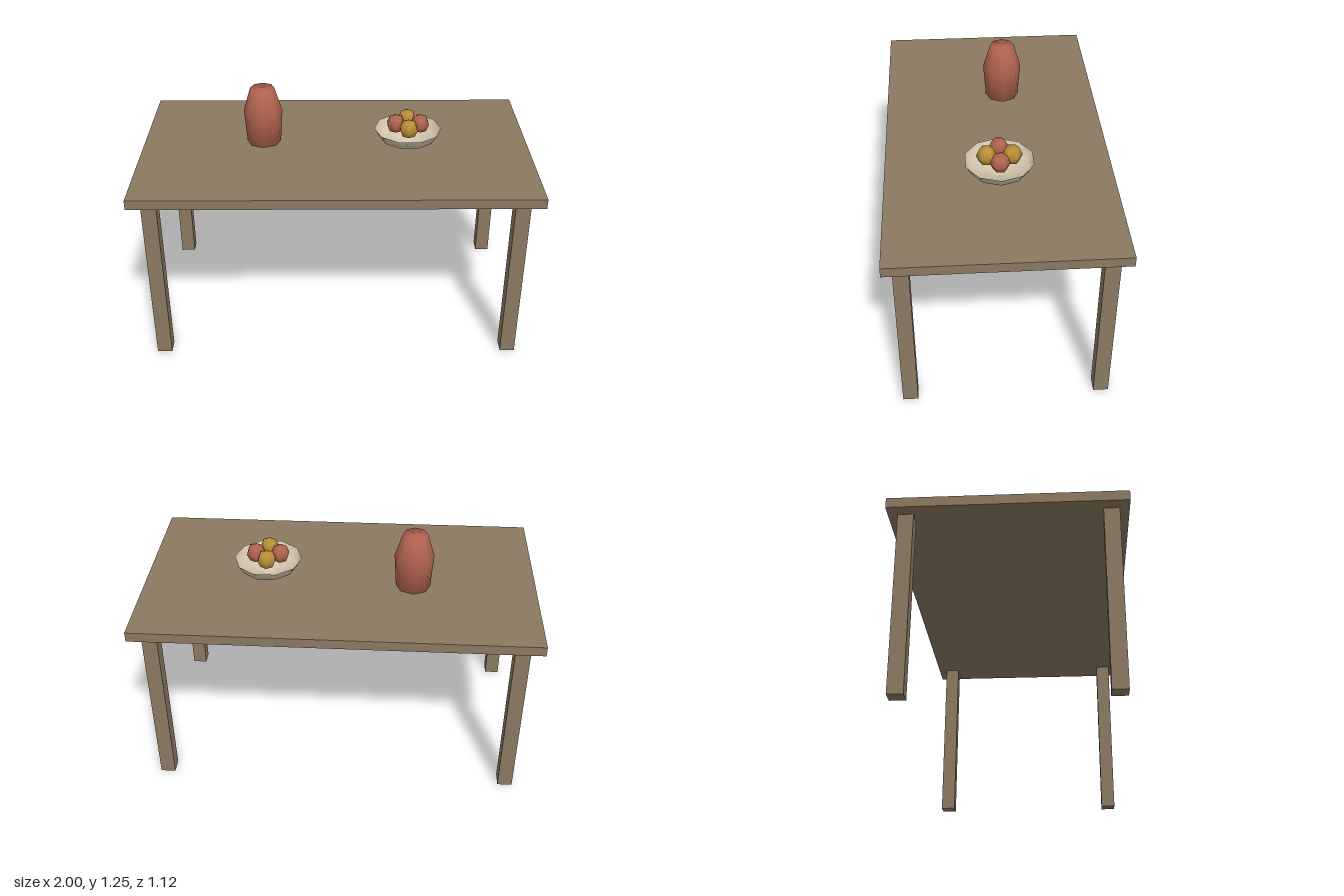
import * as THREE from 'three';

const material = (name, color, extra = {}) => {
  const m = new THREE.MeshStandardMaterial({ color, ...extra });
  m.name = name;
  return m;
};

export function createModel() {
  const wood = material('wood', 0x8a7962);
  const clay = material('red clay', 0xb2644f);
  const yellow = material('yellow fruit', 0xb98f38);
  const cream = material('cream ceramic', 0xd2c5ae, { side: THREE.DoubleSide });

  const model = new THREE.Group();
  model.name = 'diningTable';
  const add = (name, geometry, mat, x, y, z, parent = model) => {
    const mesh = new THREE.Mesh(geometry, mat);
    mesh.name = name;
    mesh.position.set(x, y, z);
    parent.add(mesh);
    return mesh;
  };
  const lathe = (profile, segments, start = 0) =>
    new THREE.LatheGeometry(profile.map(([r, y]) => new THREE.Vector2(r, y)), segments, start);

  // Table top and four square legs
  add('tableTop', new THREE.BoxGeometry(2, 0.05, 1.12), wood, 0, 0.925, 0);
  const legGeometry = new THREE.BoxGeometry(0.075, 0.9, 0.075);
  for (const [side, sx] of [['left', 1], ['right', -1]]) {
    for (const [end, sz] of [['Front', 1], ['Back', -1]]) {
      add(`${side}${end}Leg`, legGeometry, wood, sx * 0.9, 0.45, sz * 0.477);
    }
  }

  // Eight-sided vase with a closed top
  const vaseProfile = [[0, 0], [0.0875, 0], [0.1, 0.175], [0.0625, 0.3], [0, 0.3]];
  add('vase', lathe(vaseProfile, 8), clay, -0.375, 0.95, -0.0625);

  // Shallow ten-sided open bowl holding the fruit
  const fruitBowl = new THREE.Group();
  fruitBowl.name = 'fruitBowl';
  fruitBowl.position.set(0.373, 0.95, 0);
  model.add(fruitBowl);
  const bowlProfile = [[0, 0.001], [0.145, 0.052], [0.173, 0.1]];
  add('bowl', lathe(bowlProfile, 10, Math.PI / 2), cream, 0, 0, 0, fruitBowl);

  // Ring of four fruits in alternating colours
  const fruitGeometry = new THREE.SphereGeometry(0.05, 6, 4).rotateY(Math.PI / 2);
  for (let i = 0; i < 4; i++) {
    const a = (i * Math.PI) / 2;
    add(i % 2 ? 'yellowFruit' : 'redFruit', fruitGeometry, i % 2 ? yellow : clay,
      0.0625 * Math.cos(a), 0.126, 0.0625 * Math.sin(a), fruitBowl);
  }

  return model;
}
